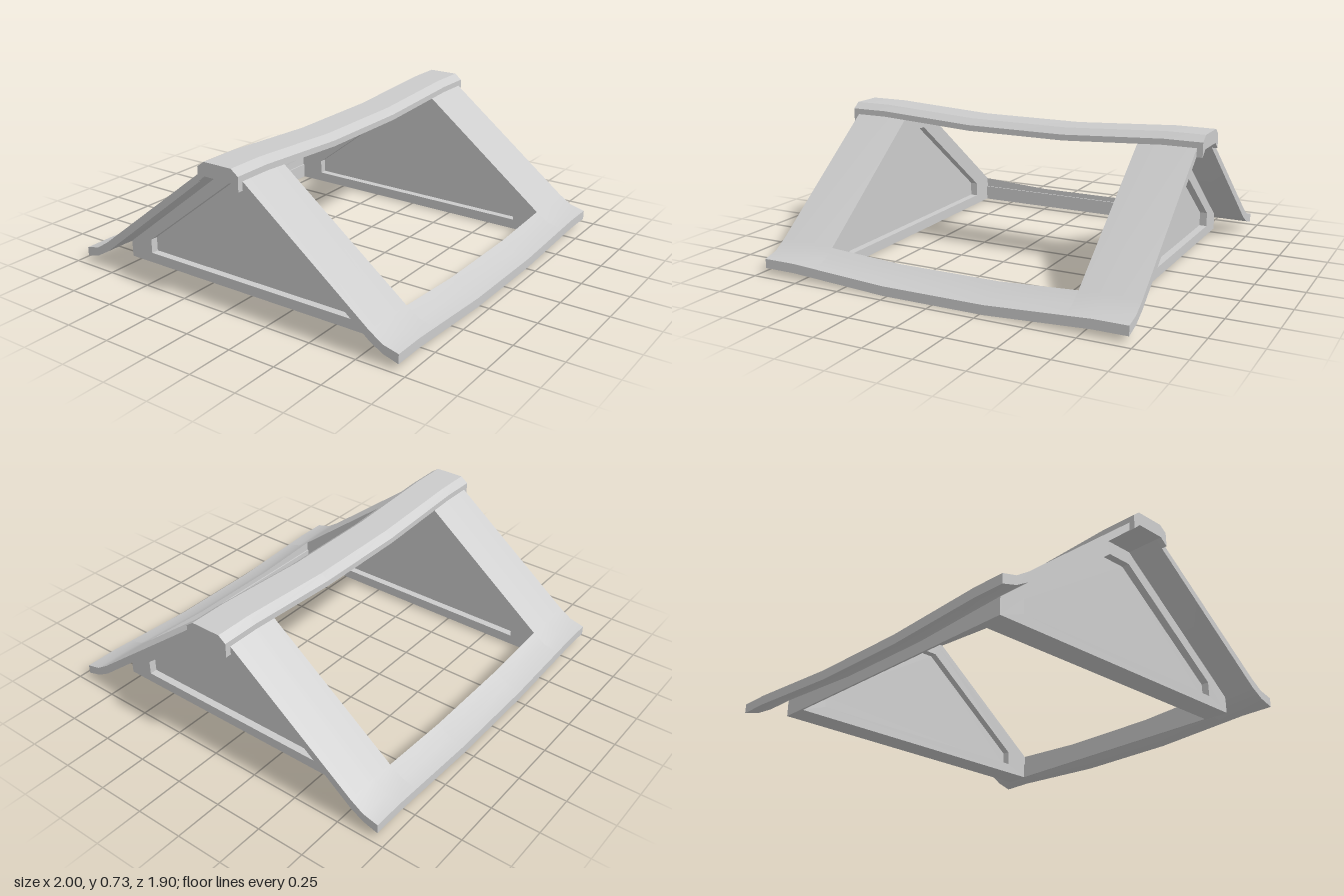
import * as THREE from 'three';
import { toCreasedNormals } from 'three/addons/utils/BufferGeometryUtils.js';

const material = new THREE.MeshStandardMaterial({ color: 0xcccccc });

// The roof dips in the middle: flat centre, straight rise, level ends.
const sag = (x) => -0.03 * THREE.MathUtils.clamp((0.8 - Math.abs(x)) / 0.53, 0, 1);

// Closes half a profile of [z, y] points across z = 0.
const mirrored = (half) => [...half, ...half.map(([z, y]) => [-z, y]).reverse()];
const toPoints = (profile) => profile.map(([z, y]) => new THREE.Vector2(-z, y));

// Sweeps a [z, y] profile along x through the given stations.
function sweep(profile, stations, { hole, bend = true } = {}) {
  const shape = new THREE.Shape(toPoints(profile));
  if (hole) shape.holes.push(new THREE.Path(toPoints(hole)));
  const steps = stations.length - 1;
  const geometry = new THREE.ExtrudeGeometry(shape, { depth: steps, steps, bevelEnabled: false });
  geometry.rotateY(Math.PI / 2);
  const p = geometry.attributes.position;
  for (let i = 0; i < p.count; i++) {
    const x = stations[Math.round(p.getX(i))];
    p.setX(i, x);
    if (bend) p.setY(i, p.getY(i) + sag(x));
  }
  return toCreasedNormals(geometry, 0.6);
}

export function createModel() {
  const model = new THREE.Group();
  model.name = 'roofFrame';
  const add = (name, geometry) => {
    const mesh = new THREE.Mesh(geometry, material);
    mesh.name = name;
    model.add(mesh);
    return mesh;
  };

  // Ridge cap with chamfered top edges
  const capTop = [[0.08, 0.74], [0.12, 0.71]];
  add('ridgeCap', sweep(mirrored([...capTop, [0.12, 0.68]]), [-1, -0.8, -0.27, 0.27, 0.8, 1]));

  // Flared eaves between the side slopes
  const eave = [[0.8, 0.15], [0.87, 0.105], [0.95, 0.085], [0.95, 0.037], [0.87, 0.06], [0.8, 0.1]];
  for (const side of [1, -1]) {
    const name = side > 0 ? 'front' : 'back';
    const profile = eave.map(([z, y]) => [z * side, y]);
    add(name + 'Eave', sweep(profile, [-0.67, -0.27, 0.27, 0.67]));
    // Thin skirt under the eave, joining the two gables
    const skirt = add(name + 'Skirt', new THREE.BoxGeometry(1.6, 0.08, 0.01));
    skirt.position.set(0, 0.052, 0.797 * side);
  }

  const slope = mirrored([[0.08, 0.71], [0.12, 0.68], ...eave, [0.08, 0.67]]);
  const gable = mirrored([[0.08, 0.672], [0.8, 0.105], [0.8, 0.012]]);
  const recess = mirrored([[0.07, 0.6], [0.66, 0.14], [0.66, 0.065]]);
  for (const side of [1, -1]) {
    const name = side > 0 ? 'left' : 'right';
    const span = (...xs) => xs.map((x) => x * side).sort((a, b) => a - b);
    // Sloping roof strips over each gable, front and back in one piece
    add(name + 'RoofStrip', sweep(slope, span(0.67, 0.8, 0.97)));
    // Lip closing the end of the ridge
    add(name + 'RidgeEnd', sweep(mirrored([...capTop, [0.12, 0.636], [0.08, 0.67]]), span(0.97, 1)));
    // Gable frame with a thinner panel set into it
    add(name + 'GableFrame', sweep(gable, span(0.67, 0.8), { hole: recess, bend: false }));
    add(name + 'GablePanel', sweep(recess, span(0.71, 0.76), { bend: false }));
  }
  return model;
}
